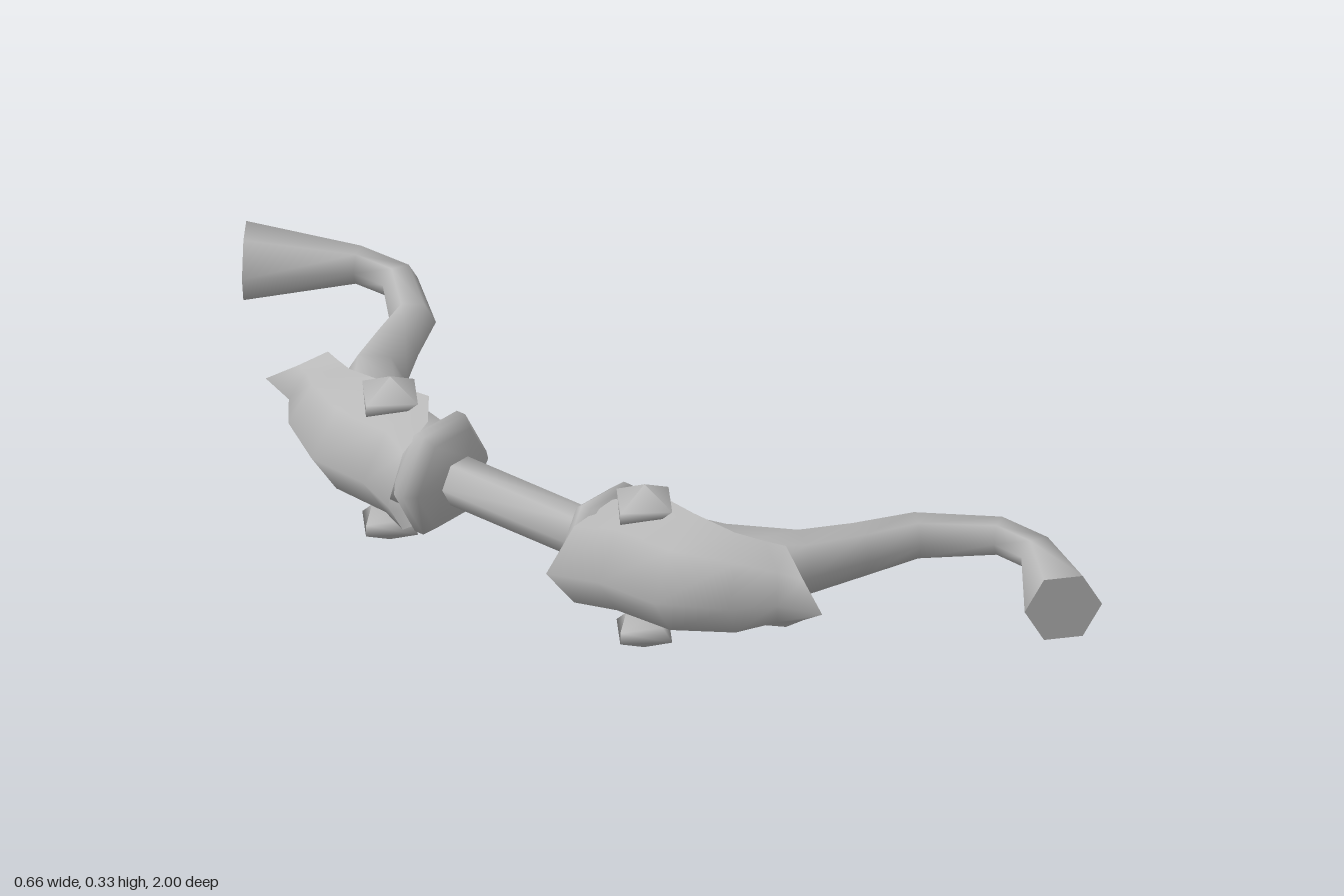
import * as THREE from 'three';

const CENTER_Y = 0.165;

// Six-sided tube through [x, z, radius] stations lying in the horizontal plane.
function sweep(stations, capEnd = false) {
  const SIDES = 6, pos = [], idx = [];
  stations.forEach(([x, z, r], i) => {
    const a = stations[Math.max(i - 1, 0)];
    const b = stations[Math.min(i + 1, stations.length - 1)];
    const len = Math.hypot(b[0] - a[0], b[1] - a[1]);
    const nx = (b[1] - a[1]) / len, nz = -(b[0] - a[0]) / len;
    for (let j = 0; j < SIDES; j++) {
      const t = (j / SIDES) * Math.PI * 2;
      const c = Math.cos(t) * r;
      pos.push(x + nx * c, Math.sin(t) * r, z + nz * c);
    }
  });
  for (let i = 0; i < stations.length - 1; i++) {
    for (let j = 0; j < SIDES; j++) {
      const a = i * SIDES + j, b = i * SIDES + ((j + 1) % SIDES);
      idx.push(a, b, a + SIDES, b, b + SIDES, a + SIDES);
    }
  }
  // flat end with its own vertices, so its edge stays sharp
  if (capEnd) {
    const first = pos.length / 3;
    pos.push(...pos.slice(-SIDES * 3));
    for (let j = 1; j < SIDES - 1; j++) idx.push(first, first + j, first + j + 1);
  }
  return finish(pos, idx);
}

function finish(pos, idx) {
  const g = new THREE.BufferGeometry();
  g.setAttribute('position', new THREE.Float32BufferAttribute(pos, 3));
  g.setIndex(idx);
  g.computeVertexNormals();
  return g;
}

// Curved guard plate: each row runs spine, shoulder, edge and is mirrored in y.
function guardGeometry() {
  const rows = [
    [[-0.333, 0, 0.185], [-0.275, 0.077, 0.2], [-0.19, 0.1, 0.215]],
    [[-0.297, 0, 0.275], [-0.24, 0.082, 0.27], [-0.135, 0.112, 0.26]],
    [[-0.29, 0, 0.4], [-0.235, 0.08, 0.39], [-0.148, 0.112, 0.37]],
    [[-0.22, 0, 0.515], [-0.18, 0.07, 0.495], [-0.13, 0.095, 0.45]],
    [[-0.155, 0, 0.57], [-0.13, 0.05, 0.55], [-0.105, 0.085, 0.5]],
    [[-0.125, 0, 0.65], [-0.107, 0.041, 0.59], [-0.09, 0.082, 0.535]],
  ];
  const pos = [], idx = [], N = 5;
  for (const [spine, shoulder, edge] of rows) {
    for (const [p, s] of [[edge, 1], [shoulder, 1], [spine, 1], [shoulder, -1], [edge, -1]]) {
      pos.push(p[0], p[1] * s, p[2]);
    }
  }
  for (let i = 0; i < rows.length - 1; i++) {
    for (let j = 0; j < N - 1; j++) {
      const a = i * N + j;
      idx.push(a, a + 1, a + N, a + 1, a + N + 1, a + N);
    }
  }
  return finish(pos, idx);
}

// Diamond stud: narrow foot, straight rim, pointed top.
function studGeometry() {
  const profile = [[0, 0.11], [0.065, 0.11], [0.065, 0.132], [0, 0.165]];
  const g = new THREE.LatheGeometry(profile.map(([r, y]) => new THREE.Vector2(r, y)), 4);
  const p = g.attributes.position;
  for (let i = 0; i < p.count; i++) {
    if (p.getY(i) < 0.12) p.setZ(i, p.getZ(i) * 0.65);
  }
  return g;
}

export function createModel() {
  const model = new THREE.Group();
  model.name = 'bow';
  const grey = new THREE.MeshStandardMaterial({ color: 0xb8b8b8, side: THREE.DoubleSide });
  grey.name = 'plain grey';

  const add = (parent, name, geometry) => {
    const mesh = new THREE.Mesh(geometry, grey);
    mesh.name = name;
    parent.add(mesh);
    return mesh;
  };

  // grip
  add(model, 'grip', sweep([[-0.18, -0.18, 0.046], [-0.18, 0.18, 0.046]])).position.y = CENTER_Y;

  const collar = sweep([
    [-0.18, 0.15, 0.045], [-0.18, 0.165, 0.095], [-0.18, 0.185, 0.113],
    [-0.18, 0.205, 0.113], [-0.18, 0.235, 0.075],
  ]);
  const limb = sweep([
    [-0.18, 0.2, 0.08], [-0.165, 0.3, 0.088], [-0.11, 0.41, 0.078], [-0.005, 0.5, 0.058],
    [0.095, 0.545, 0.048], [0.2, 0.588, 0.041], [0.295, 0.7, 0.034], [0.292, 0.795, 0.034],
    [0.172, 0.956, 0.07],
  ], true);
  const guard = guardGeometry();
  const stud = studGeometry();

  // two halves; a half turn about x mirrors the symmetric half
  for (const [name, turn] of [['frontHalf', 0], ['backHalf', Math.PI]]) {
    const half = new THREE.Group();
    half.name = name;
    half.position.y = CENTER_Y;
    half.rotation.x = turn;
    add(half, 'collar', collar);
    add(half, 'limb', limb);
    add(half, 'guardPlate', guard);
    for (const [studName, flip] of [['upperStud', 0], ['lowerStud', Math.PI]]) {
      const m = add(half, studName, stud);
      m.position.set(-0.197, 0, 0.297);
      m.rotation.x = flip;
    }
    model.add(half);
  }
  return model;
}
